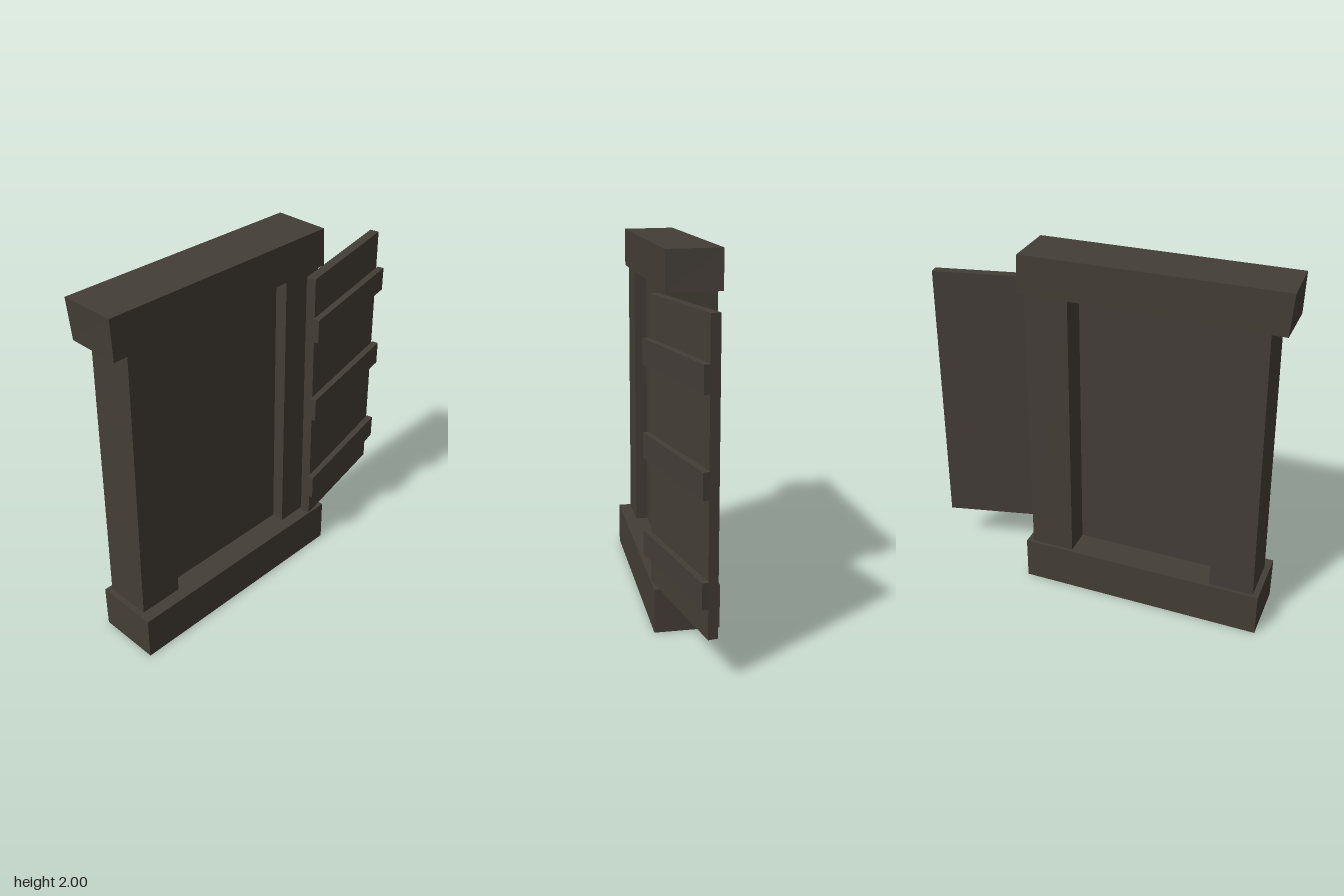
import * as THREE from 'three';

// Box whose eight corners are placed freely.
// Each ring lists [x, y, z] as back-left, back-right, front-right, front-left (left = -x).
function block(name, bottom, top, material) {
  const geometry = new THREE.BoxGeometry(1, 1, 1);
  const p = geometry.attributes.position;
  for (let i = 0; i < p.count; i++) {
    const ring = p.getY(i) > 0 ? top : bottom;
    const right = p.getX(i) > 0, front = p.getZ(i) > 0;
    p.setXYZ(i, ...ring[front ? (right ? 2 : 3) : (right ? 1 : 0)]);
  }
  geometry.computeVertexNormals();
  const mesh = new THREE.Mesh(geometry, material);
  mesh.name = name;
  return mesh;
}

// Level rectangular ring of corners
const ring = (x0, x1, y, z0, z1) => [[x0, y, z0], [x1, y, z0], [x1, y, z1], [x0, y, z1]];

export function createModel() {
  const wood = new THREE.MeshStandardMaterial({ color: 0x433d36, flatShading: true });
  wood.name = 'dark wood';
  const model = new THREE.Group();
  model.name = 'shutteredWindow';

  // Window frame: sill, crooked lintel and two posts
  const frame = new THREE.Group();
  frame.name = 'frame';
  frame.add(
    block('sill', ring(-0.965, 0.395, 0, -0.19, 0.16), ring(-0.965, 0.395, 0.243, -0.19, 0.16), wood),
    block('lintel', ring(-0.985, 0.392, 1.78, -0.19, 0.1),
      [[-1, 2, -0.195], [0.375, 1.988, -0.195], [0.382, 1.986, 0.1], [-0.99, 1.997, 0.1]], wood),
    block('rightPost', ring(-0.933, -0.69, 0.23, -0.17, 0.09), ring(-0.902, -0.68, 1.79, -0.17, 0.09), wood),
    block('leftPost', ring(0.12, 0.36, 0.23, -0.17, 0.09), ring(0.122, 0.357, 1.79, -0.17, 0.09), wood),
  );
  model.add(frame);

  // Recessed panel filling the opening
  model.add(block('panel', ring(-0.75, 0.2, 0.23, -0.02, 0.02), ring(-0.75, 0.2, 1.79, -0.02, 0.02), wood));

  // Open shutter, swung slightly backwards at its outer end
  const shutter = new THREE.Group();
  shutter.name = 'shutter';
  shutter.add(block('shutterBoard',
    [[0.266, 0.245, 0.107], [0.967, 0.23, -0.046], [0.976, 0.23, 0.004], [0.278, 0.245, 0.157]],
    [[0.255, 1.762, 0.107], [0.955, 1.76, -0.046], [0.964, 1.76, 0.004], [0.267, 1.762, 0.157]], wood));

  // Cross battens on the shutter's face
  for (const y of [0.39, 0.92, 1.407]) {
    const level = (h) => [[0.254, h, 0.157], [0.983, h, 0.001], [0.991, h, 0.037], [0.262, h, 0.193]];
    shutter.add(block('batten', level(y), level(y + 0.134), wood));
  }
  model.add(shutter);
  return model;
}
